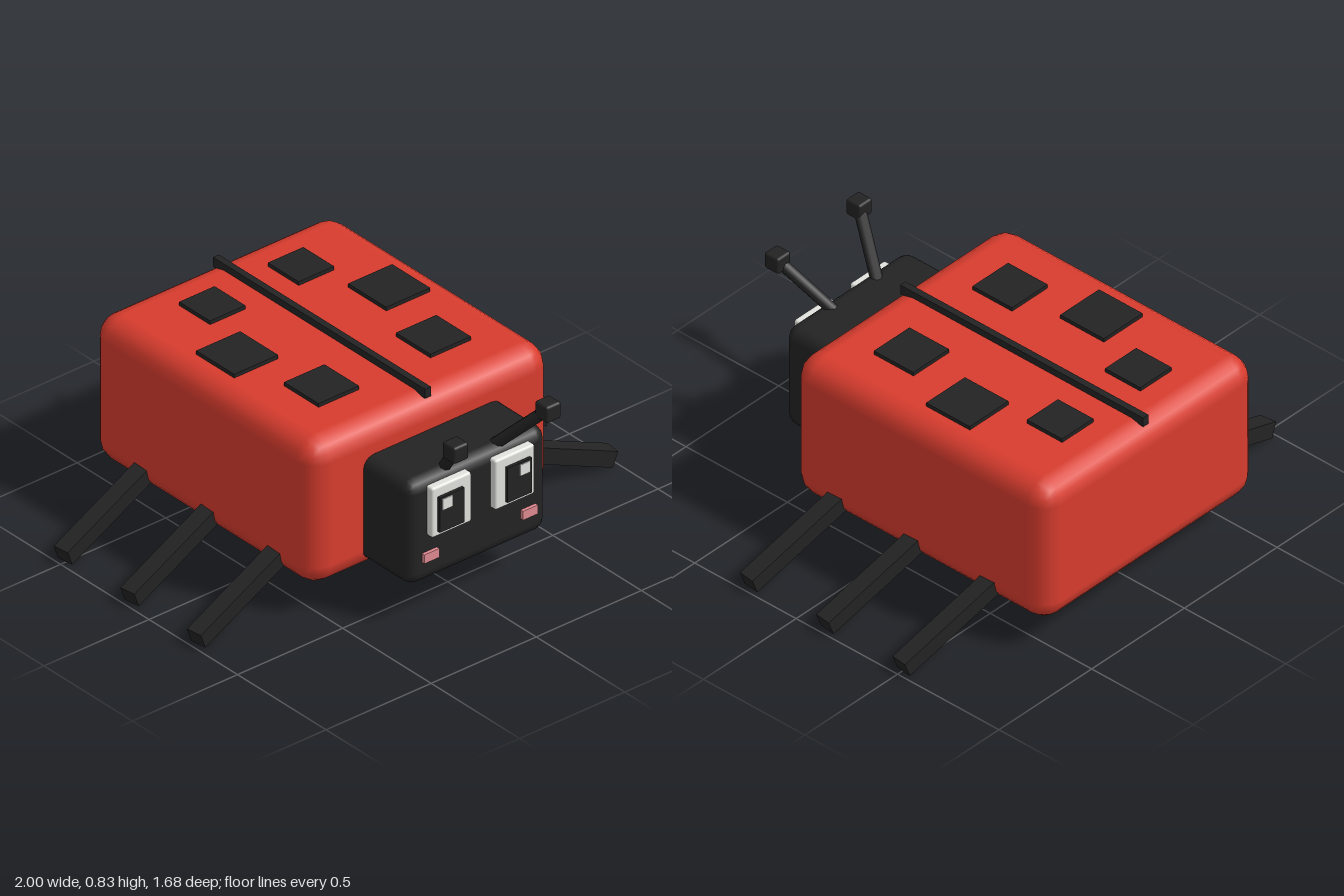
import * as THREE from 'three';
import { RoundedBoxGeometry } from 'three/addons/geometries/RoundedBoxGeometry.js';

const material = (name, color) => {
  const m = new THREE.MeshStandardMaterial({ color });
  m.name = name;
  return m;
};

export function createModel() {
  const model = new THREE.Group();
  model.name = 'ladybug';
  const red = material('shell red', 0xd83c2e);
  const black = material('soft black', 0x232323);
  const white = material('eye white', 0xe2e2de);
  const pink = material('cheek pink', 0xe08a90);

  const add = (name, geometry, mat) => {
    const mesh = new THREE.Mesh(geometry, mat);
    mesh.name = name;
    model.add(mesh);
    return mesh;
  };
  // Box given by its extents on each axis, with optional rounded edges
  const block = (name, mat, [x0, x1], [y0, y1], [z0, z1], radius = 0) => {
    const size = [x1 - x0, y1 - y0, z1 - z0];
    const geometry = radius
      ? new RoundedBoxGeometry(...size, 2, radius)
      : new THREE.BoxGeometry(...size);
    const mesh = add(name, geometry, mat);
    mesh.position.set((x0 + x1) / 2, (y0 + y1) / 2, (z0 + z1) / 2);
    return mesh;
  };

  // Body, head and the seam between the wing cases
  block('body', red, [-0.575, 0.575], [0.135, 0.752], [-0.84, 0.415], 0.09);
  block('head', black, [-0.33, 0.33], [0.18, 0.622], [0.2, 0.675], 0.05);
  block('wingSeam', black, [-0.014, 0.014], [0.74, 0.78], [-0.81, 0.388]);

  for (const [side, s] of [['left', 1], ['right', -1]]) {
    const mirrored = (name, mat, [x0, x1], ...rest) =>
      block(side + name, mat, s > 0 ? [x0, x1] : [-x1, -x0], ...rest);

    // Square spots on the back
    mirrored('RearSpot', black, [0.127, 0.295], [0.745, 0.768], [-0.667, -0.493]);
    mirrored('MiddleSpot', black, [0.257, 0.466], [0.745, 0.768], [-0.368, -0.153]);
    mirrored('FrontSpot', black, [0.17, 0.362], [0.745, 0.768], [-0.005, -0.005 + 0.0].map((v, i) => (i ? -0.2 : -0.005)).map((v) => -v).sort((a, b) => a - b));

    // Eyes with pupils and highlights, and cheeks
    mirrored('Eye', white, [0.056, 0.245], [0.38, 0.592], [0.655, 0.703], 0.01);
    mirrored('Pupil', black, [0.103, 0.219], [0.402, 0.55], [0.69, 0.716]);
    mirrored('EyeHighlight', white, [0.16, 0.209], [0.495, 0.542], [0.713, 0.72]);
    mirrored('Cheek', pink, [0.199, 0.27], [0.277, 0.315], [0.66, 0.689]);

    // Antenna stalk and tip
    const base = new THREE.Vector3(s * 0.1, 0.57, 0.59);
    const tip = new THREE.Vector3(s * 0.22, 0.797, 0.805);
    const along = tip.clone().sub(base);
    const stalk = add(side + 'AntennaStalk', new THREE.CylinderGeometry(0.024, 0.024, along.length(), 8), black);
    stalk.position.copy(base).add(tip).multiplyScalar(0.5);
    stalk.quaternion.setFromUnitVectors(new THREE.Vector3(0, 1, 0), along.normalize());
    mirrored('AntennaTip', black, [0.185, 0.255], [0.763, 0.833], [0.77, 0.84], 0.01);

    // Three splayed legs, sunk into the body
    [0.248, -0.128, -0.504].forEach((z, i) => {
      const foot = new THREE.Vector3(s * 0.985, 0.035, z);
      const hip = new THREE.Vector3(s * 0.485, 0.228, z - 0.06);
      const leg = add(`${side}Leg${i + 1}`, new THREE.BoxGeometry(0.07, 0.066, foot.distanceTo(hip)), black);
      leg.position.copy(foot).add(hip).multiplyScalar(0.5);
      leg.lookAt(foot);
    });
  }
  return model;
}
